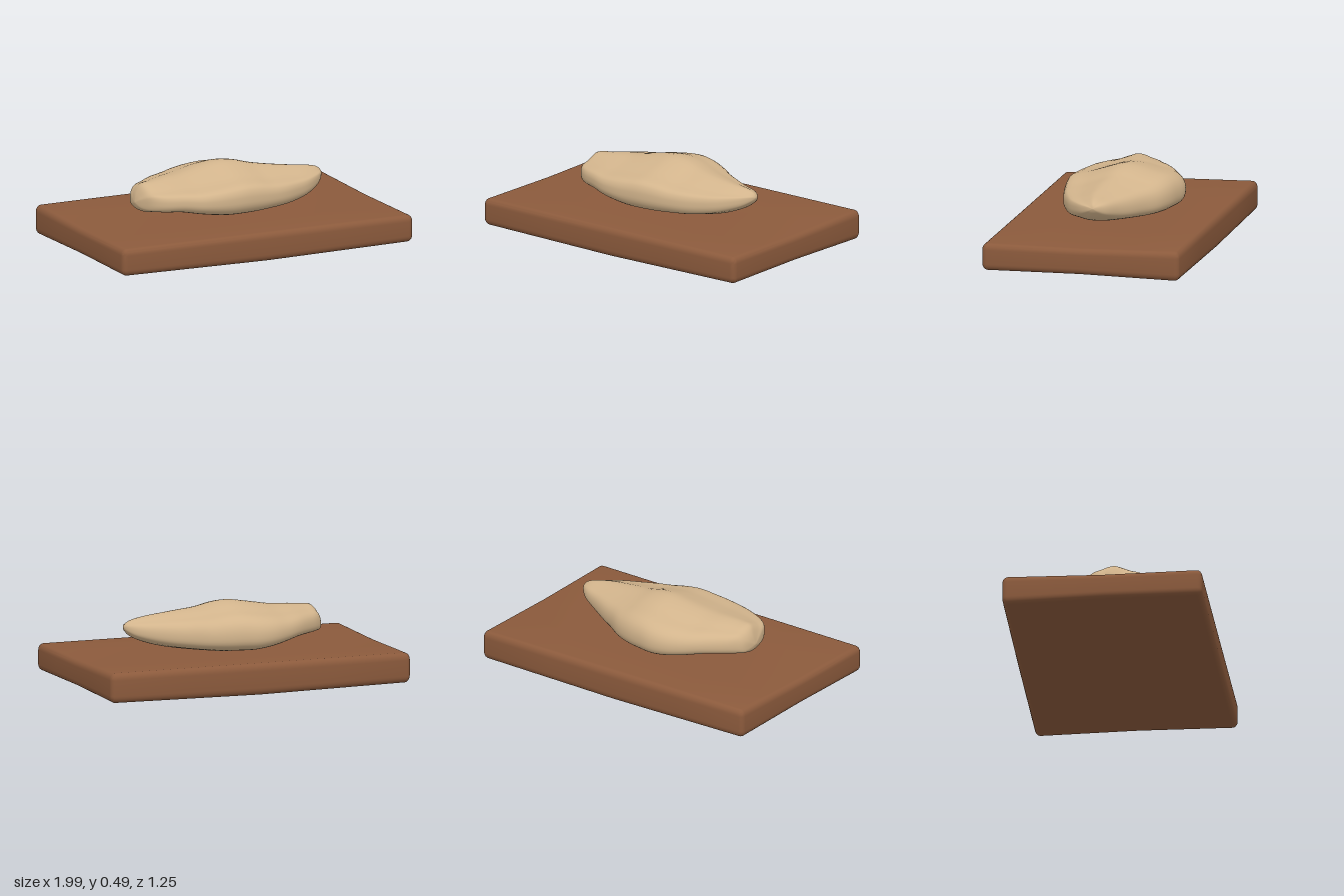
import * as THREE from 'three';
import { mergeVertices, toCreasedNormals } from 'three/addons/utils/BufferGeometryUtils.js';

const brown = new THREE.MeshStandardMaterial({ color: 0x8b5a3c });
brown.name = 'brown wood';
const tan = new THREE.MeshStandardMaterial({ color: 0xd2b48c });
tan.name = 'tan dough';

// Slab with rounded edges, a raised back edge and a slightly sagging underside
function boardGeometry() {
  const half = [0.99, 0.095, 0.622], radius = [0.035, 0.045, 0.035];
  const segments = [10, 8, 10];
  const geo = new THREE.BoxGeometry(2, 2, 2, ...segments);
  const pos = geo.attributes.position;
  for (let i = 0; i < pos.count; i++) {
    const inner = [], dir = new THREE.Vector3();
    for (let k = 0; k < 3; k++) {
      const n = segments[k] / 2;
      const s = Math.round(pos.getComponent(i, k) * n); // -n..n
      const a = Math.abs(s), bevelStart = n - 3;
      const core = half[k] - radius[k];
      inner[k] = Math.sign(s) * core * Math.min(1, a / bevelStart);
      dir.setComponent(k, Math.sign(s) * Math.max(0, Math.tan((a - bevelStart) / 3 * Math.PI / 4)));
    }
    dir.normalize();
    let x = inner[0] + dir.x * radius[0];
    let y = 0.1 + inner[1] + dir.y * radius[1];
    let z = inner[2] + dir.z * radius[2];
    const up = THREE.MathUtils.clamp((y - 0.005) / 0.19, 0, 1);
    const u = x / 0.99, v = z / 0.622;
    y += up * (v < 0 ? -0.017 * (1 + v) + 0.003 : -0.014);
    y += (1 - up) * (0.012 * Math.abs(u) + 0.008 * (1 - Math.abs(v)) - 0.005);
    x += 0.005 * v * u;
    z += v > 0 ? 0.005 * u * v - 0.007 * v : 0.003 * v * (1 + u);
    pos.setXYZ(i, x, y, z);
  }
  geo.deleteAttribute('uv');
  geo.deleteAttribute('normal');
  return toCreasedNormals(mergeVertices(geo, 1e-4), 0.45);
}

// Lump stations along x: x, back z, front z, bottom y, top y
const stations = [
  [-0.62, 0.02, 0.02, 0.31, 0.31],
  [-0.605, -0.07, 0.09, 0.27, 0.37],
  [-0.57, -0.12, 0.18, 0.255, 0.42],
  [-0.5, -0.18, 0.24, 0.25, 0.43],
  [-0.4, -0.26, 0.285, 0.245, 0.44],
  [-0.3, -0.32, 0.32, 0.225, 0.447],
  [-0.2, -0.365, 0.335, 0.205, 0.465],
  [-0.1, -0.38, 0.338, 0.19, 0.483],
  [0, -0.367, 0.335, 0.187, 0.495],
  [0.1, -0.345, 0.323, 0.19, 0.485],
  [0.2, -0.305, 0.305, 0.2, 0.46],
  [0.3, -0.24, 0.28, 0.21, 0.445],
  [0.4, -0.185, 0.24, 0.225, 0.432],
  [0.5, -0.13, 0.19, 0.25, 0.42],
  [0.6, -0.08, 0.11, 0.29, 0.405],
  [0.65, -0.035, 0.045, 0.33, 0.385],
  [0.665, 0, 0, 0.36, 0.36],
];

// Unit cross-section (z, y), from the front over the top and around
const section = [
  [1, -0.1], [0.98, 0.2], [0.9, 0.42], [0.6, 0.57], [0.3, 0.8], [0, 1], [-0.27, 0.94],
  [-0.53, 0.76], [-0.8, 0.6], [-0.95, 0.3], [-1, -0.2], [-0.95, -0.55], [-0.8, -0.74],
  [-0.53, -0.87], [-0.27, -0.96], [0, -1], [0.3, -0.97], [0.6, -0.83], [0.88, -0.68], [0.98, -0.42],
];

function lumpGeometry() {
  const around = 60, along = 64;
  const loop = new THREE.CatmullRomCurve3(
    section.map(([z, y]) => new THREE.Vector3(0, y, z)), true, 'centripetal');
  const tracks = [1, 2, 3, 4].map(k =>
    new THREE.SplineCurve(stations.map(s => new THREE.Vector2(s[0], s[k]))));
  const points = [], index = [];
  for (let i = 0; i <= along; i++) {
    const t = i / along;
    const x = tracks[0].getPoint(t).x;
    const [back, front, low, high] = tracks.map(c => c.getPoint(t).y);
    for (let j = 0; j < around; j++) {
      const p = loop.getPoint(j / around);
      points.push(x, (low + high) / 2 + p.y * (high - low) / 2,
        (back + front) / 2 + p.z * (front - back) / 2);
      if (i < along) {
        const a = i * around + j, b = i * around + (j + 1) % around;
        index.push(a, a + around, b + around, a, b + around, b);
      }
    }
  }
  const geo = new THREE.BufferGeometry();
  geo.setAttribute('position', new THREE.Float32BufferAttribute(points, 3));
  geo.setIndex(index);
  const merged = mergeVertices(geo, 1e-5);
  merged.computeVertexNormals();
  return merged;
}

export function createModel() {
  const group = new THREE.Group();
  group.name = 'doughOnBoard';
  const board = new THREE.Mesh(boardGeometry(), brown);
  board.name = 'board';
  const lump = new THREE.Mesh(lumpGeometry(), tan);
  lump.name = 'doughLump';
  group.add(board, lump);
  return group;
}
